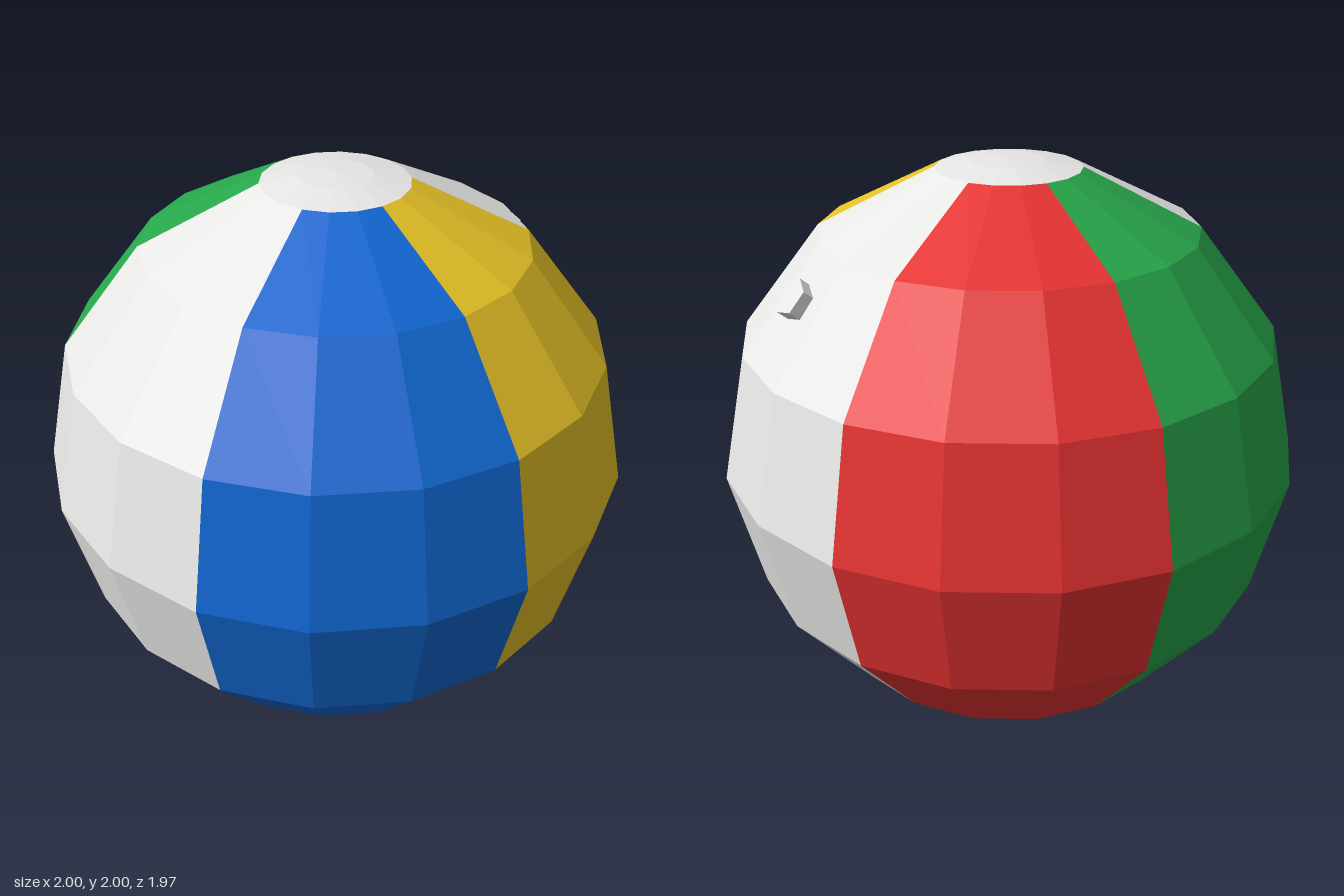
import * as THREE from 'three';

const mat = (name, color) => {
  const m = new THREE.MeshStandardMaterial({ color, flatShading: true });
  m.name = name;
  return m;
};

export function createModel() {
  const white = mat('white', 0xeeeeec);
  const yellow = mat('yellow', 0xefc928);
  const blue = mat('blue', 0x1066d0);
  const green = mat('green', 0x28a84c);
  const red = mat('red', 0xf03535);

  const model = new THREE.Group();
  model.name = 'beachBall';
  const add = (name, geometry, material) => {
    const mesh = new THREE.Mesh(geometry, material);
    mesh.name = name;
    mesh.position.y = 1;
    model.add(mesh);
    return mesh;
  };

  // Six gores of 60 degrees, running from +x towards +z
  const gore = Math.PI / 3;
  const capAngle = THREE.MathUtils.degToRad(13.92);
  const panels = [
    ['yellowPanel', yellow], ['bluePanel', blue], ['leftWhitePanel', white],
    ['greenPanel', green], ['redPanel', red], ['rightWhitePanel', white],
  ];
  panels[2][0] = 'frontWhitePanel';
  panels[5][0] = 'backWhitePanel';
  panels.forEach(([name, material], i) => {
    add(name, new THREE.SphereGeometry(1, 3, 6, Math.PI - (i + 1) * gore, gore,
      capAngle, Math.PI - 2 * capAngle), material);
  });

  // Shallow round caps at both poles
  add('topCap', new THREE.SphereGeometry(1, 18, 1, 0, Math.PI * 2, 0, capAngle), white);
  add('bottomCap', new THREE.SphereGeometry(1, 18, 1, 0, Math.PI * 2,
    Math.PI - capAngle, capAngle), white);

  // Five-sided air valve, standing out of the back white panel
  const axis = new THREE.Vector3(0.658, 0.658, -0.38).normalize();
  const tangent = new THREE.Vector3(0.5, 0, 0.866).normalize();
  tangent.addScaledVector(axis, -tangent.dot(axis)).normalize();
  const side = new THREE.Vector3().crossVectors(axis, tangent);
  const valve = add('valve', new THREE.CylinderGeometry(0.066, 0.066, 0.07, 5), white);
  valve.quaternion.setFromRotationMatrix(new THREE.Matrix4().makeBasis(side, axis, tangent));
  valve.position.addScaledVector(axis, 0.972);

  return model;
}
